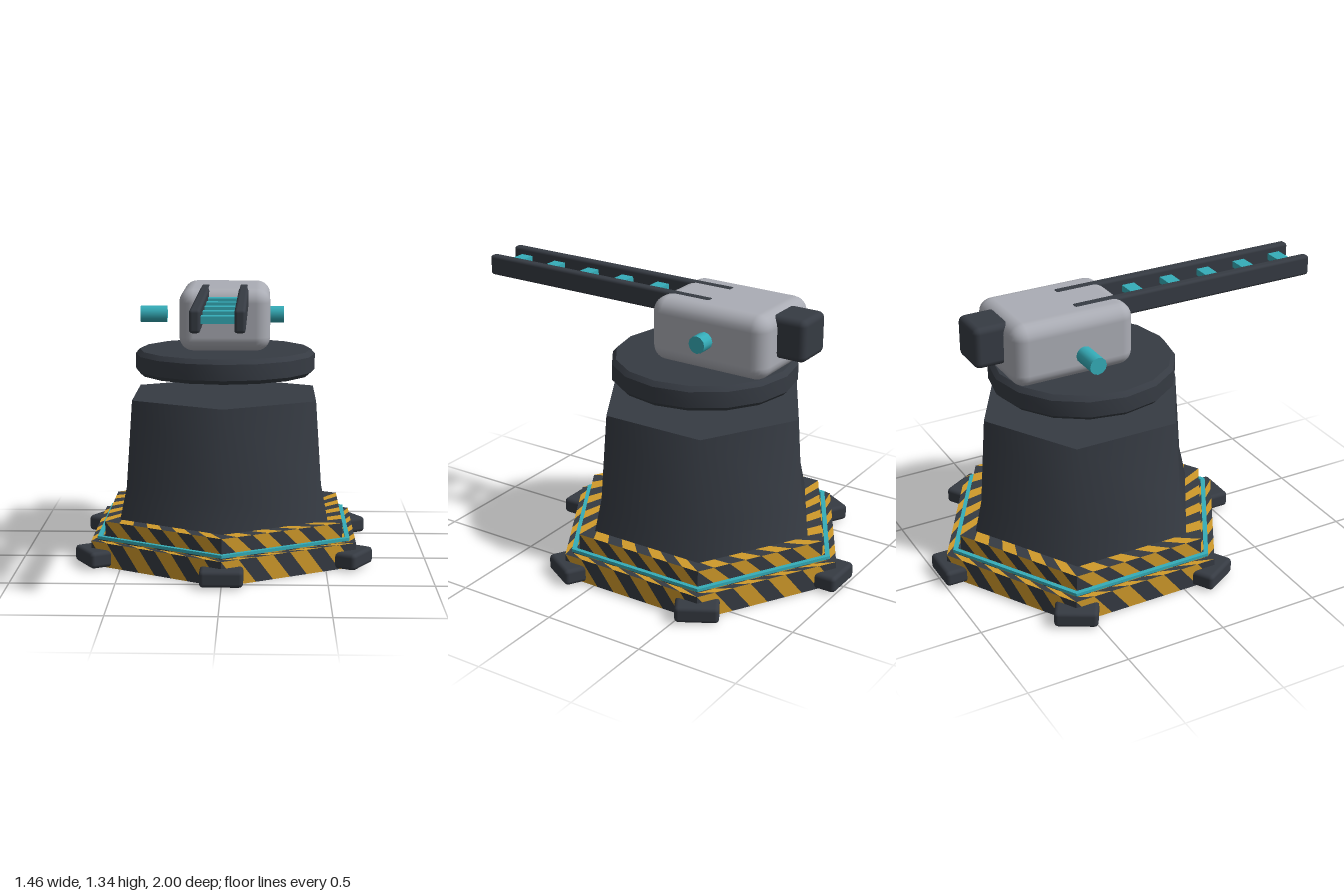
import * as THREE from 'three';
import { toCreasedNormals } from 'three/addons/utils/BufferGeometryUtils.js';
import { RoundedBoxGeometry } from 'three/addons/geometries/RoundedBoxGeometry.js';

const mat = (name, color) => {
  const m = new THREE.MeshStandardMaterial({ color });
  m.name = name;
  return m;
};

export function createModel() {
  const dark = mat('dark steel', 0x363b43);
  const yellow = mat('hazard yellow', 0xd09a2a);
  const cyan = mat('cyan', 0x35adb9);
  const grey = mat('light grey', 0xabadb5);

  const model = new THREE.Group();
  const pedestal = new THREE.Group();
  pedestal.name = 'pedestal';
  pedestal.position.z = -0.207;
  model.add(pedestal);

  const add = (parent, name, geo, material, x = 0, y = 0, z = 0) => {
    const mesh = new THREE.Mesh(geo, material);
    mesh.name = name;
    mesh.position.set(x, y, z);
    parent.add(mesh);
    return mesh;
  };
  // Turned profile [radius, height]; edges sharper than crease stay hard
  const turned = (profile, sides, crease) => toCreasedNormals(
    new THREE.LatheGeometry(profile.map(p => new THREE.Vector2(...p)), sides), crease);
  // Rounded box given by its limits on each axis
  const block = (parent, name, material, [x0, x1], [y0, y1], [z0, z1], r, seg = 2) =>
    add(parent, name, new RoundedBoxGeometry(x1 - x0, y1 - y0, z1 - z0, seg, r), material,
      (x0 + x1) / 2, (y0 + y1) / 2, (z0 + z1) / 2);

  // Striped hexagonal base: each profile step is a band of slanted stripes
  const steps = [[0.748, 0], [0.748, 0.12], [0.708, 0.12], [0.708, 0.13],
    [0.672, 0.13], [0.672, 0.21], [0.58, 0.21]];
  const PER_SIDE = 8;
  const stripes = parity => {
    const pos = [];
    const point = (side, u, [r, y]) => {
      const a = side * Math.PI / 3, b = a + Math.PI / 3;
      const t = THREE.MathUtils.clamp(u / PER_SIDE, 0, 1);
      return [r * THREE.MathUtils.lerp(Math.sin(a), Math.sin(b), t), y,
        r * THREE.MathUtils.lerp(Math.cos(a), Math.cos(b), t)];
    };
    for (let s = 0; s < steps.length - 1; s++) {
      const lo = steps[s], hi = steps[s + 1];
      for (let side = 0; side < 6; side++) {
        for (let k = -1; k < PER_SIDE; k++) {
          if (Math.abs(k % 2) !== parity) continue;
          const a = point(side, k + 1, lo), b = point(side, k + 2, lo);
          const c = point(side, k + 1, hi), d = point(side, k, hi);
          if (k < PER_SIDE - 1) pos.push(...a, ...b, ...c);
          if (k >= 0) pos.push(...a, ...c, ...d);
        }
      }
    }
    const geo = new THREE.BufferGeometry();
    geo.setAttribute('position', new THREE.Float32BufferAttribute(pos, 3));
    geo.computeVertexNormals();
    return geo;
  };
  add(pedestal, 'baseYellowStripes', stripes(0), yellow);
  add(pedestal, 'baseDarkStripes', stripes(1), dark);
  add(pedestal, 'baseUnderside', turned([[0, 0.002], [0.748, 0.002]], 6, 0.3), dark);
  add(pedestal, 'lightStrip', turned([[0.688, 0.126], [0.713, 0.126], [0.713, 0.141],
    [0.688, 0.141], [0.688, 0.126]], 6, 0.3), cyan);

  // Pinwheel mark under the base
  for (let i = 0; i < 6; i++) {
    const at = (r, a) => new THREE.Vector2(r * Math.cos(a), r * Math.sin(a));
    const blade = new THREE.Shape([at(0.04, 0), at(0.09, 0.1), at(0.14, 0.55),
      at(0.14, 0.95), at(0.09, 0.75), at(0.045, 0.8)]);
    const geo = new THREE.ShapeGeometry(blade).rotateX(Math.PI / 2);
    add(pedestal, 'undersideBlade', geo, yellow).rotation.y = i * Math.PI / 3;
  }

  // Feet at the six corners
  for (let i = 0; i < 6; i++) {
    const foot = new THREE.Group();
    foot.name = 'foot';
    foot.rotation.y = i * Math.PI / 3;
    block(foot, 'footBlock', dark, [-0.103, 0.103], [0.005, 0.086], [0.6, 0.793], 0.02);
    pedestal.add(foot);
  }

  // Hexagonal shaft and floating turntable
  add(pedestal, 'shaft', turned([[0, 0.2], [0.592, 0.2], [0.59, 0.21], [0.553, 0.37],
    [0.52, 0.8], [0, 0.8]], 6, 1.15), dark);
  add(pedestal, 'turntable', turned([[0, 0.905], [0.43, 0.905], [0.45, 0.925],
    [0.45, 1.003], [0.43, 1.026], [0, 1.026]], 16, 0.5), dark);

  // Gun housing with rear block and side pins
  const turret = new THREE.Group();
  turret.name = 'turret';
  model.add(turret);
  block(turret, 'housing', grey, [-0.225, 0.225], [1.028, 1.338], [-0.655, -0.035], 0.07, 3);
  block(turret, 'rearBlock', dark, [-0.102, 0.102], [1.12, 1.322], [-0.795, -0.6], 0.03);
  for (const [x0, x1] of [[-0.435, -0.3], [0.16, 0.295]]) {
    const pin = new THREE.CylinderGeometry(0.042, 0.042, x1 - x0, 12).rotateZ(Math.PI / 2);
    add(turret, 'sidePin', pin, cyan, (x0 + x1) / 2, 1.185, -0.345);
  }

  // Twin rails joined by rungs
  for (const x of [-0.099, 0.093]) {
    block(turret, 'rail', dark, [x - 0.024, x + 0.024], [1.24, 1.341], [-0.3, 1], 0.014);
  }
  for (let i = 0; i < 5; i++) {
    const rung = new THREE.BoxGeometry(0.18, 0.032, 0.066);
    add(turret, 'rung', rung, cyan, -0.003, 1.291, 0.081 + i * 0.2085);
  }
  return model;
}
